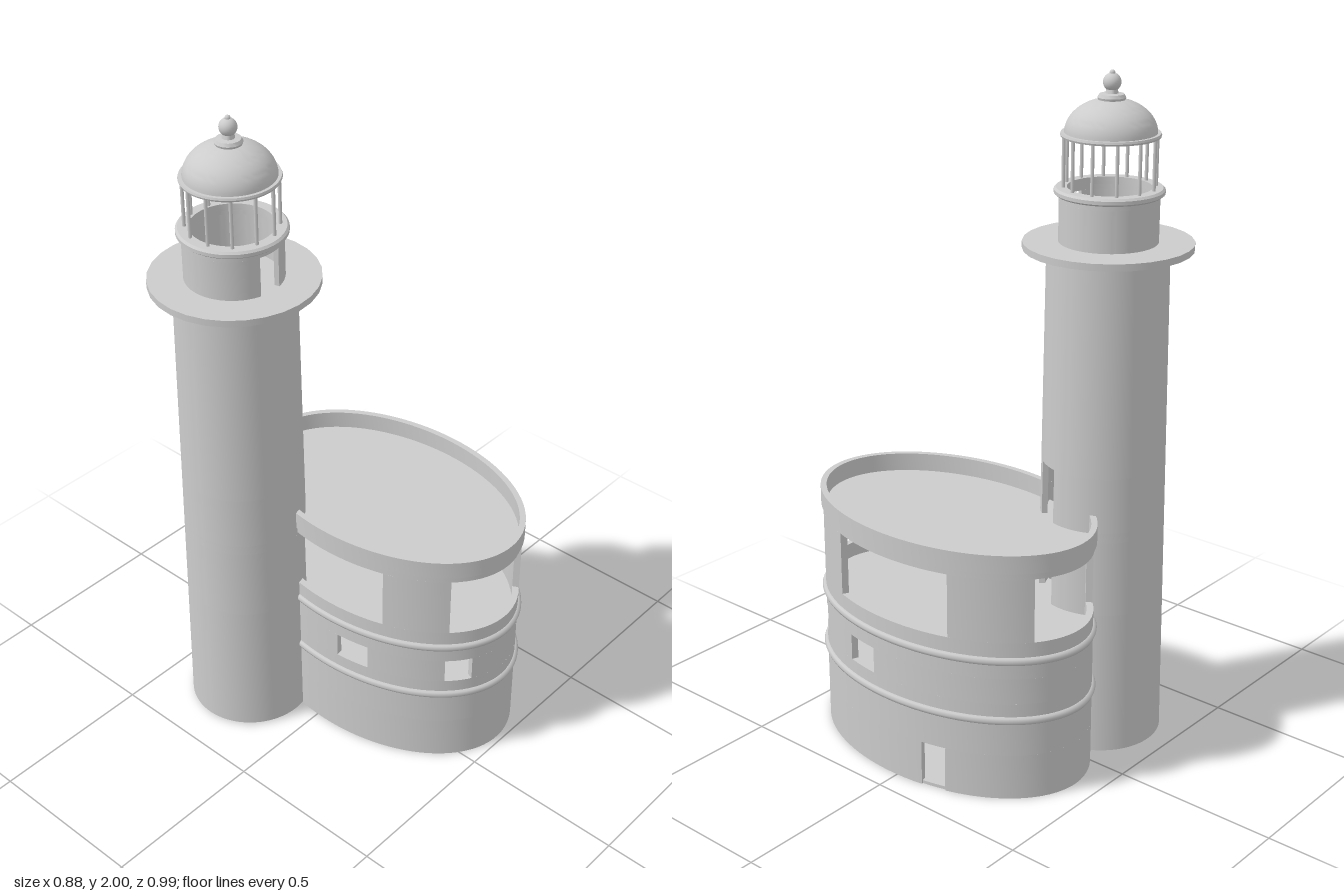
import * as THREE from 'three';
import { toCreasedNormals } from 'three/addons/utils/BufferGeometryUtils.js';

const material = new THREE.MeshStandardMaterial({ color: 0xcccccc, side: THREE.DoubleSide });
const rad = THREE.MathUtils.degToRad;

function add(parent, name, geometry, x = 0, y = 0, z = 0) {
  const mesh = new THREE.Mesh(geometry, material);
  mesh.name = name;
  mesh.position.set(x, y, z);
  parent.add(mesh);
  return mesh;
}

// Upright curved slab on an ellipse; angles in degrees from +z towards +x.
// scaleAt(y) optionally tapers it with height.
function arcSlab(rx, rz, thick, y0, y1, a0, a1, scaleAt) {
  const n = Math.max(2, Math.ceil((a1 - a0) / 4));
  const outer = [], inner = [];
  for (let i = 0; i <= n; i++) {
    const a = rad(a0 + (a1 - a0) * i / n), s = Math.sin(a), c = Math.cos(a);
    outer.push(new THREE.Vector2(rx * s, -rz * c));
    inner.unshift(new THREE.Vector2((rx - thick) * s, -(rz - thick) * c));
  }
  const shape = new THREE.Shape([...outer, ...inner]);
  const g = new THREE.ExtrudeGeometry(shape, { depth: y1 - y0, bevelEnabled: false });
  g.rotateX(-Math.PI / 2).translate(0, y0, 0);
  if (scaleAt) {
    const p = g.attributes.position;
    for (let i = 0; i < p.count; i++) {
      const k = scaleAt(p.getY(i));
      p.setXYZ(i, p.getX(i) * k, p.getY(i), p.getZ(i) * k);
    }
    g.computeVertexNormals();
  }
  return toCreasedNormals(g, rad(30));
}

// One storey strip of wall, split around openings [start, end]
function wallRow(parent, name, y0, y1, range, openings, slab) {
  let a = range[0];
  for (const [s, e] of [...openings, [range[1], range[1]]]) {
    if (s - a > 0.1) add(parent, name, slab(y0, y1, a, s));
    a = e;
  }
}

function lathe(points, segments = 48) {
  const g = new THREE.LatheGeometry(points.map(p => new THREE.Vector2(...p)), segments);
  return toCreasedNormals(g, rad(35));
}

// Elliptical building that wraps into the tower
function buildHall() {
  const hall = new THREE.Group();
  hall.name = 'ovalBuilding';
  hall.position.set(0.13, 0, 0.028);
  const rx = 0.298, rz = 0.455, range = [-106, 217];
  const slab = (y0, y1, a, b) => arcSlab(rx, rz, 0.02, y0, y1, a, b);

  const door = [[105, 115]];
  const smallWindows = [[-82.8, -69.1], [-34.8, -20.8], [26.5, 41.1], [69.1, 82.8]];
  const largeWindows = [[-106, -62.8], [-33.4, 26.7], [62.8, 116.5], [153.3, 213.4]];
  wallRow(hall, 'groundWall', 0, 0.14, range, door, slab);
  wallRow(hall, 'groundWall', 0.14, 0.305, range, [], slab);
  wallRow(hall, 'middleWall', 0.305, 0.385, range, smallWindows, slab);
  wallRow(hall, 'middleWall', 0.385, 0.497, range, [], slab);
  wallRow(hall, 'windowPier', 0.497, 0.69, range, largeWindows, slab);
  wallRow(hall, 'upperWall', 0.69, 0.71, range, [], slab);
  add(hall, 'parapet', arcSlab(0.303, 0.462, 0.018, 0.71, 0.765, ...range));

  // Floors and roof
  const oval = new THREE.Shape().absellipse(0, 0, rx - 0.005, rz - 0.005, 0, Math.PI * 2);
  for (const [name, y, h] of [['baseFloor', 0, 0.01], ['middleFloor', 0.235, 0.02],
    ['upperFloor', 0.43, 0.02], ['roof', 0.69, 0.02]]) {
    const g = new THREE.ExtrudeGeometry(oval, { depth: h, bevelEnabled: false, curveSegments: 64 });
    add(hall, name, toCreasedNormals(g.rotateX(-Math.PI / 2), rad(30)), 0, y, 0);
  }

  // Rounded string courses
  for (const y of [0.253, 0.44]) {
    const points = [];
    for (let i = 0; i <= 64; i++) {
      const a = rad(range[0] + (range[1] - range[0]) * i / 64);
      points.push(new THREE.Vector3(0.295 * Math.sin(a), y, 0.453 * Math.cos(a)));
    }
    add(hall, 'stringCourse', new THREE.TubeGeometry(new THREE.CatmullRomCurve3(points), 128, 0.013, 8));
  }
  return hall;
}

// Tapered tower with gallery, lantern and dome
function buildTower() {
  const tower = new THREE.Group();
  tower.name = 'tower';
  tower.position.set(-0.2, 0, -0.255);
  const taper = y => 1 - 0.06 * y;
  const slab = (y0, y1, a, b) => arcSlab(0.19, 0.19, 0.018, y0, y1, a, b, taper);
  const full = [0, 360];
  wallRow(tower, 'shaft', 0.005, 0.45, full, [], slab);
  wallRow(tower, 'shaft', 0.45, 0.68, full, [[30, 76]], slab);
  wallRow(tower, 'shaft', 0.68, 0.71, full, [], slab);
  wallRow(tower, 'shaft', 0.71, 0.875, full, [[52, 76]], slab);
  wallRow(tower, 'shaft', 0.875, 1.505, full, [], slab);
  add(tower, 'towerFloor', new THREE.CylinderGeometry(0.175, 0.175, 0.01, 48), 0, 0.025, 0);

  // Spiral stair
  for (let i = 0; i < 48; i++) {
    const y = 0.04 + i * 0.03, a = 30 + i * 20;
    add(tower, 'stairStep', arcSlab(0.16, 0.16, 0.12, y, y + 0.012, a, a + 22));
  }
  add(tower, 'stairPost', new THREE.CylinderGeometry(0.04, 0.04, 1.48, 16), 0, 0.76, 0);

  // Gallery and watch room
  add(tower, 'gallery', new THREE.CylinderGeometry(0.241, 0.241, 0.02, 28), 0, 1.512, 0);
  const drum = (y0, y1, a, b) => arcSlab(0.14, 0.14, 0.015, y0, y1, a, b);
  wallRow(tower, 'watchRoom', 1.52, 1.64, [14.5, 345.5], [], drum);
  wallRow(tower, 'watchRoom', 1.64, 1.66, full, [], drum);
  add(tower, 'lanternSill', lathe([[0.118, 1.655], [0.148, 1.655], [0.154, 1.66],
    [0.154, 1.67], [0.148, 1.676], [0.118, 1.676], [0.118, 1.655]]));

  // Lantern posts
  for (let i = 0; i < 12; i++) {
    const a = rad(15 + i * 30);
    add(tower, 'lanternPost', new THREE.CylinderGeometry(0.005, 0.005, 0.15, 8),
      0.129 * Math.sin(a), 1.748, 0.129 * Math.cos(a));
  }
  add(tower, 'domeRing', lathe([[0.118, 1.816], [0.137, 1.816], [0.139, 1.821],
    [0.137, 1.827], [0.118, 1.827], [0.118, 1.816]]));

  // Dome and finial
  const dome = [];
  for (let i = 0; i <= 16; i++) {
    const a = i / 16 * Math.PI / 2;
    dome.push([0.128 * Math.cos(a), 1.825 + 0.095 * Math.sin(a)]);
  }
  add(tower, 'dome', lathe(dome));
  add(tower, 'finialBase', lathe([[0, 1.91], [0.036, 1.912], [0.039, 1.922], [0.034, 1.931],
    [0.018, 1.933], [0.014, 1.95], [0, 1.95]], 24));
  add(tower, 'finialBall', new THREE.SphereGeometry(0.025, 24, 16), 0, 1.963, 0);
  add(tower, 'finialTip', new THREE.SphereGeometry(0.008, 12, 8), 0, 1.988, 0);
  return tower;
}

export function createModel() {
  const model = new THREE.Group();
  model.name = 'lighthouse';
  model.add(buildHall(), buildTower());
  return model;
}
